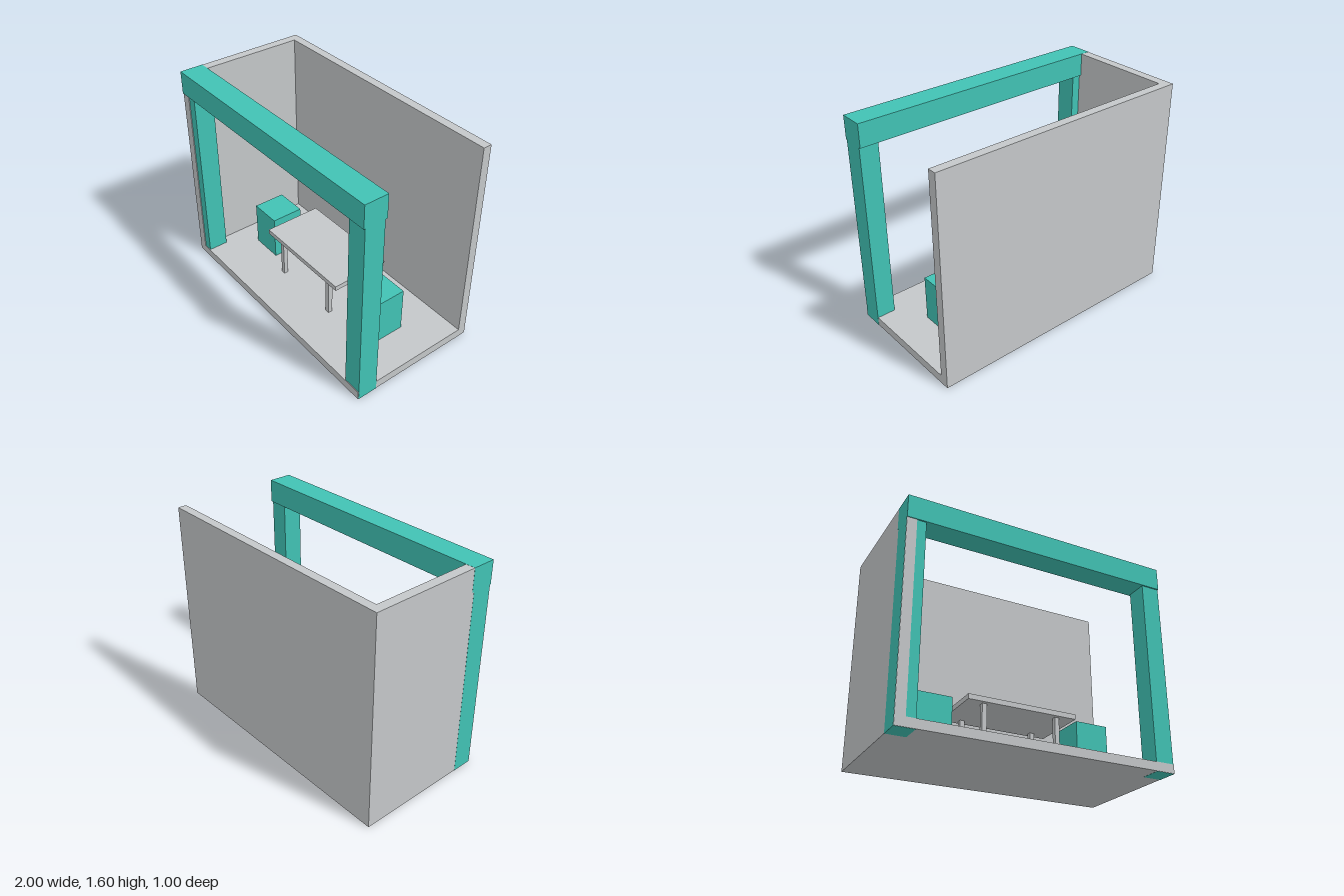
import * as THREE from 'three';

export function createModel() {
  const model = new THREE.Group();
  model.name = 'diningBooth';

  const grey = new THREE.MeshStandardMaterial({ color: 0xc4c7c9 });
  grey.name = 'light grey';
  const teal = new THREE.MeshStandardMaterial({ color: 0x41c2b4 });
  teal.name = 'teal';

  // Box given by its extents along each axis
  function block(name, material, [x0, x1], [y0, y1], [z0, z1], parent = model) {
    const geometry = new THREE.BoxGeometry(x1 - x0, y1 - y0, z1 - z0);
    const mesh = new THREE.Mesh(geometry, material);
    mesh.position.set((x0 + x1) / 2, (y0 + y1) / 2, (z0 + z1) / 2);
    mesh.name = name;
    parent.add(mesh);
    return mesh;
  }

  const floorTop = 0.065;
  const height = 1.6;
  const lip = 0.001; // keeps the frame just proud of the shell

  // Shell: floor, back wall and one side wall
  block('floor', grey, [-1, 1], [0, floorTop], [-0.5, 0.5]);
  block('backWall', grey, [-1, 1], [floorTop, height], [-0.5, -0.435]);
  block('sideWall', grey, [-1, -0.93], [floorTop, height], [-0.435, 0.5]);

  // Front frame: two posts and a wider beam
  const frame = new THREE.Group();
  frame.name = 'frontFrame';
  model.add(frame);
  block('rightPost', teal, [-1 - lip, -0.863], [-lip, 1.43], [0.343, 0.495], frame);
  block('leftPost', teal, [0.86, 1 + lip], [-lip, 1.43], [0.343, 0.495], frame);
  block('beam', teal, [-1 - lip, 1 + lip], [1.43, height + lip], [0.328, 0.505], frame);

  // Table with four square legs
  const table = new THREE.Group();
  table.name = 'table';
  model.add(table);
  block('tableTop', grey, [-0.41, 0.407], [0.38, 0.417], [-0.23, 0.22], table);
  for (const x of [-0.278, 0.274]) {
    for (const z of [-0.179, 0.174]) {
      block('tableLeg', grey, [x - 0.017, x + 0.017], [floorTop, 0.38], [z - 0.017, z + 0.017], table);
    }
  }

  // Block stools at either end of the table
  for (const [name, x] of [['rightStool', -0.603], ['leftStool', 0.6]]) {
    block(name, teal, [x - 0.125, x + 0.125], [floorTop, 0.413], [-0.128, 0.122]);
  }

  return model;
}
